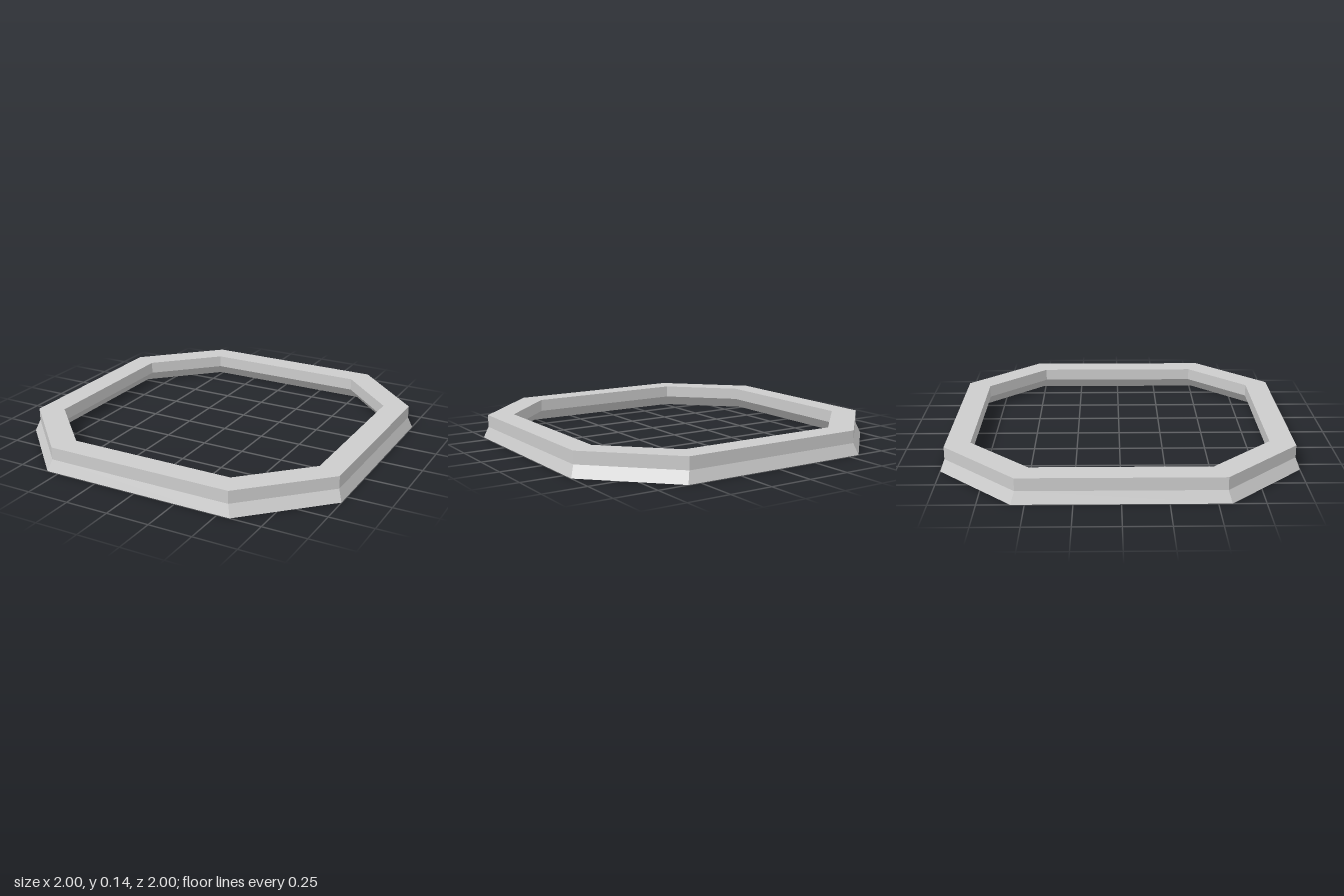
import * as THREE from 'three';

// Octagon loop: long sides at distance a from the centre, each of half length c
function octagon([a, c, y]) {
  const loop = [];
  for (let q = 0, p = [[a, -c], [a, c]]; q < 4; q++) {
    for (const [x, z] of p) loop.push([x, y, z]);
    p = p.map(([x, z]) => [-z, x]);
  }
  return loop;
}

// Closed ring skinned through a cycle of loops, with flat facets
function ringGeometry(sections) {
  const loops = sections.map(octagon);
  const pos = [];
  loops.forEach((lower, i) => {
    const upper = loops[(i + 1) % loops.length];
    for (let j = 0; j < 8; j++) {
      const k = (j + 1) % 8;
      pos.push(...lower[j], ...upper[j], ...upper[k], ...lower[j], ...upper[k], ...lower[k]);
    }
  });
  const g = new THREE.BufferGeometry();
  g.setAttribute('position', new THREE.Float32BufferAttribute(pos, 3));
  g.computeVertexNormals();
  return g;
}

export function createModel() {
  const group = new THREE.Group();
  group.name = 'octagonalFrame';
  const grey = new THREE.MeshStandardMaterial({ color: 0xcccccc });
  grey.name = 'lightGrey';

  // Cross-section: flared foot outside, straight rim, undercut inside
  const frame = new THREE.Mesh(ringGeometry([
    [1.0, 0.573, 0],
    [0.976, 0.552, 0.066],
    [0.976, 0.552, 0.138],
    [0.836, 0.489, 0.138],
    [0.836, 0.489, 0.066],
    [0.892, 0.516, 0],
  ]), grey);
  frame.name = 'frameRing';
  group.add(frame);
  return group;
}
